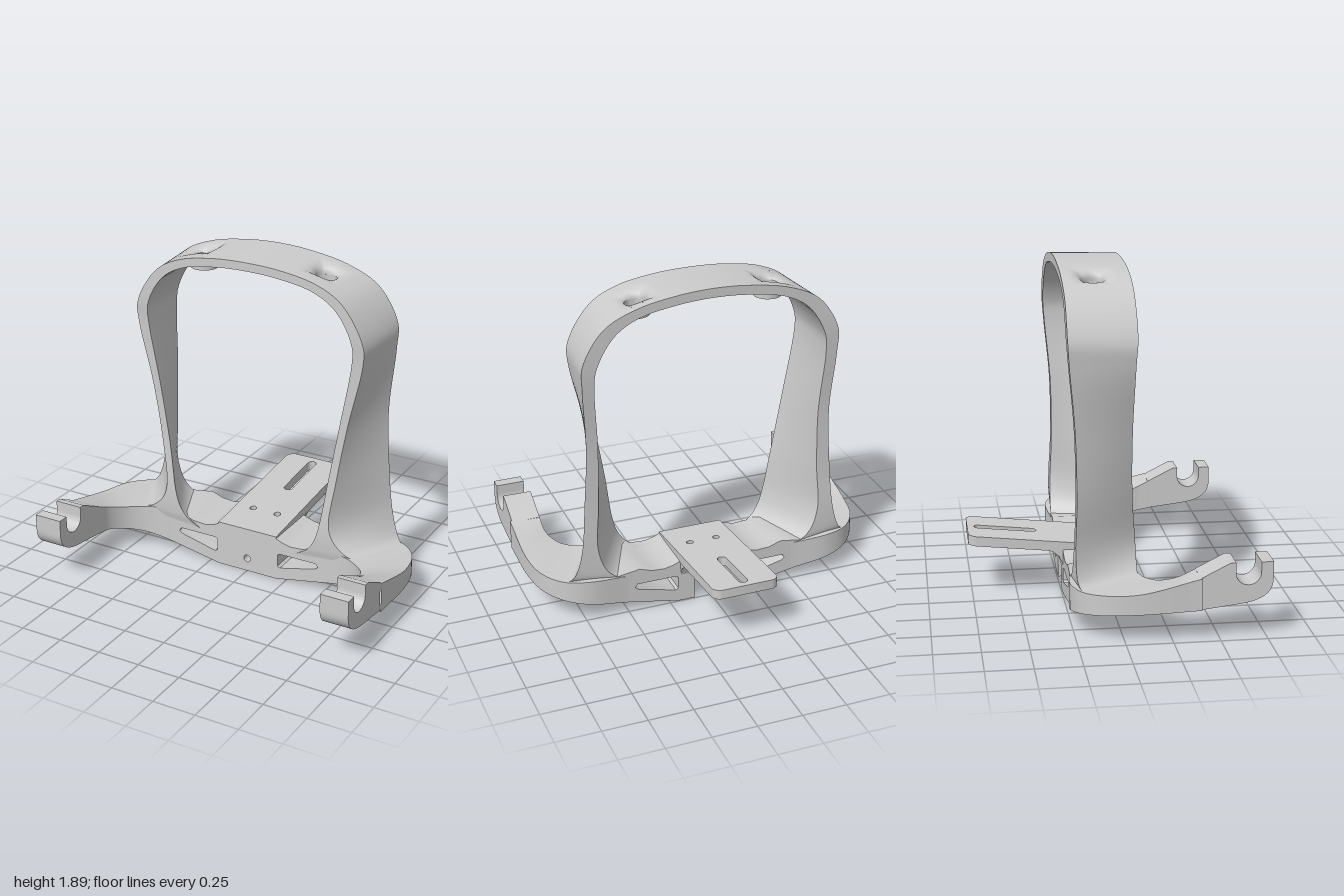
import * as THREE from 'three';
import { toCreasedNormals } from 'three/addons/utils/BufferGeometryUtils.js';

const material = new THREE.MeshStandardMaterial({ color: 0xcccccc, side: THREE.DoubleSide });
const lerp = THREE.MathUtils.lerp;
const span = (a, b, n) => Array.from({ length: n }, (_, i) => lerp(a, b, i / n));

// Triangles of a surface f(u, v) over two lists of parameters
function addPatch(out, f, us, vs, flip = false, skip = () => false) {
  for (let i = 0; i < us.length - 1; i++) {
    for (let j = 0; j < vs.length - 1; j++) {
      if (skip((us[i] + us[i + 1]) / 2, (vs[j] + vs[j + 1]) / 2)) continue;
      const a = f(us[i], vs[j]), b = f(us[i + 1], vs[j]);
      const c = f(us[i + 1], vs[j + 1]), d = f(us[i], vs[j + 1]);
      for (const p of flip ? [a, c, b, a, d, c] : [a, b, c, a, c, d]) out.push(p.x, p.y, p.z);
    }
  }
}

function surface(out, crease = 0.6) {
  const g = new THREE.BufferGeometry();
  g.setAttribute('position', new THREE.Float32BufferAttribute(out, 3));
  return toCreasedNormals(g, crease);
}

function addMesh(parent, name, geometry) {
  const mesh = new THREE.Mesh(geometry, material);
  mesh.name = name;
  parent.add(mesh);
  return mesh;
}

const polygon = (pts) => new THREE.Shape(pts.map(([x, y]) => new THREE.Vector2(x, y)));
const circleHole = (x, y, r) => new THREE.Path().absarc(x, y, r, 0, Math.PI * 2, true);
const extrude = (shape, depth) =>
  toCreasedNormals(new THREE.ExtrudeGeometry(shape, { depth, bevelEnabled: false, curveSegments: 16 }), 0.5);

// Half of the hoop: four edge curves from the foot to the crown
const frontZ = [0.1, 0.11, 0.112, 0.092, 0.085, 0.09, 0.1, 0.1, 0.1, 0.1, 0.1];
const backZ = [-0.24, -0.24, -0.235, -0.225, -0.23, -0.26, -0.27, -0.27, -0.27, -0.27, -0.27];
const footBackZ = [-0.2, -0.23];
function edgeCurve(points, zs) {
  const v = points.map(([x, y], i) => new THREE.Vector3(x, y, zs[i]));
  v.push(new THREE.Vector3(-v[9].x, v[9].y, v[9].z));
  return new THREE.CatmullRomCurve3(v, false, 'catmullrom', 0.5);
}
const frontInner = edgeCurve([[0.32, 0.2], [0.41, 0.27], [0.465, 0.4], [0.512, 0.7], [0.572, 1.05], [0.635, 1.4],
  [0.63, 1.55], [0.54, 1.7], [0.4, 1.785], [0.2, 1.822], [0, 1.832]], frontZ);
const frontOuter = edgeCurve([[0.78, 0.24], [0.62, 0.285], [0.53, 0.42], [0.56, 0.7], [0.62, 1.05], [0.7, 1.4],
  [0.695, 1.56], [0.58, 1.74], [0.42, 1.83], [0.21, 1.87], [0, 1.88]], frontZ);
const backInner = edgeCurve([[0.36, 0.2], [0.58, 0.25], [0.665, 0.42], [0.655, 0.7], [0.65, 1.05], [0.67, 1.4],
  [0.65, 1.55], [0.555, 1.7], [0.41, 1.785], [0.2, 1.825], [0, 1.837]], backZ);
const backOuter = edgeCurve([[0.86, 0.23], [0.8, 0.29], [0.757, 0.45], [0.735, 0.7], [0.717, 1.05], [0.737, 1.4],
  [0.73, 1.57], [0.615, 1.745], [0.43, 1.835], [0.21, 1.877], [0, 1.89]], [...footBackZ, ...backZ.slice(2)]);

// u runs 0..10 along the hoop, v front to back, w outside to inside
function hoopPoint(u, v, w) {
  const t = u / 11;
  const front = frontOuter.getPoint(t).lerp(frontInner.getPoint(t), w);
  const back = backOuter.getPoint(t).lerp(backInner.getPoint(t), w);
  return front.lerp(back, v);
}

const HOLE = { x: 0.38, z: -0.1, r: 0.06 };
function hoopGeometry() {
  const out = [];
  const us = [...span(0, 7.6, 70), ...span(7.6, 8.7, 8), ...span(8.7, 10, 10), 10];
  const vs = [0, 0.11, 0.22, 0.38, 0.54, 0.7, 0.86, 1];
  const inHole = (u, v) => u > 7.6 && u < 8.7 && v > 0.22 && v < 0.86;
  const angles = [...span(0, Math.PI * 2, 48), Math.PI * 2];
  for (const w of [0, 1]) {
    addPatch(out, (u, v) => hoopPoint(u, v, w), us, vs, w === 1, inHole);
    // Dimple: rings from the round hole out to the square opening
    const rimY = w === 0 ? 1.8 : 1.77;
    addPatch(out, (a, k) => {
      const c = Math.cos(a), s = Math.sin(a), m = Math.max(Math.abs(c), Math.abs(s));
      const p = hoopPoint(8.15 + 0.55 * lerp(c * 0.5, c / m, k), 0.54 + 0.32 * lerp(s * 0.5, s / m, k), w);
      const rim = new THREE.Vector3(HOLE.x - HOLE.r * c, rimY, HOLE.z - HOLE.r * s);
      return p.lerp(rim, (1 - k) ** 2);
    }, angles, [0, 0.15, 0.3, 0.45, 0.6, 0.8, 1], w === 0);
  }
  addPatch(out, (u, w) => hoopPoint(u, 0, w), us, [0, 1], true);
  addPatch(out, (u, w) => hoopPoint(u, 1, w), us, [0, 1]);
  return surface(out);
}

// Curved arm: each row is inner x, z, top, bottom, then outer x, z, top, bottom
function armGeometry() {
  const rows = [
    [0.5, 0.095, 0.24, 0.06, 0.5, -0.245, 0.23, 0.06],
    [0.62, 0.11, 0.265, 0.085, 0.73, -0.26, 0.25, 0.105],
    [0.7, 0.14, 0.262, 0.103, 0.86, -0.21, 0.25, 0.13],
    [0.77, 0.2, 0.268, 0.125, 0.95, -0.1, 0.257, 0.148],
    [0.815, 0.29, 0.295, 0.15, 0.99, 0.08, 0.27, 0.158],
    [0.82, 0.4, 0.345, 0.17, 0.995, 0.4, 0.345, 0.17],
  ];
  const corner = (o, y) => new THREE.CatmullRomCurve3(rows.map((r) => new THREE.Vector3(r[o], r[o + y], r[o + 1])));
  const corners = [corner(0, 2), corner(4, 2), corner(4, 3), corner(0, 3)];
  const out = [];
  const ts = [...span(0, 1, 32), 1];
  corners.forEach((c, i) => {
    const next = corners[(i + 1) % 4];
    addPatch(out, (t, k) => c.getPoint(t).lerp(next.getPoint(t), k), ts, [0, 0.5, 1], true);
  });
  return surface(out);
}

// Open hook at the end of each arm, drawn in z and y
function hookGeometry() {
  const s = new THREE.Shape();
  s.moveTo(0.39, 0.17);
  s.lineTo(0.6, 0.195);
  s.bezierCurveTo(0.72, 0.21, 0.775, 0.25, 0.775, 0.33);
  s.lineTo(0.775, 0.42);
  s.lineTo(0.71, 0.42);
  s.lineTo(0.71, 0.365);
  s.absarc(0.643, 0.365, 0.067, 0, Math.PI, true);
  s.lineTo(0.576, 0.42);
  s.lineTo(0.545, 0.42);
  s.lineTo(0.39, 0.342);
  const g = extrude(s, 0.165);
  return g.rotateY(-Math.PI / 2).translate(0.985, 0, 0);
}

// Cross bar layer with two tapered windows; the rear layer has an open pocket
function barGeometry(z0, z1, pocket) {
  const half = [[0.19, 0], [0.56, 0.07], [0.56, 0.24], [0.43, 0.26], [0.36, 0.235], [0.28, 0.23], [0.22, 0.245], [0.185, 0.262]];
  const right = pocket ? [[0.1, 0.14], [0.1, 0], ...half] : half;
  const s = polygon([...right, ...right.map(([x, y]) => [-x, y]).reverse()]);
  for (const m of [1, -1]) {
    const window = [[0.2, 0.085], [0.215, 0.075], [0.44, 0.13], [0.458, 0.145], [0.445, 0.165], [0.215, 0.165], [0.2, 0.155]];
    s.holes.push(new THREE.Path(window.map(([x, y]) => new THREE.Vector2(m * x, y))));
  }
  if (!pocket) s.holes.push(circleHole(0, 0.08, 0.022));
  return extrude(s, z1 - z0).translate(0, 0, z0);
}

// Sloping rear plate with a long slot and two screw holes
function plateGeometry() {
  const w = 0.19, end = 0.77, r = 0.05;
  const s = new THREE.Shape();
  s.moveTo(-w, -0.095);
  s.lineTo(w, -0.095);
  s.lineTo(w, end - r);
  s.absarc(w - r, end - r, r, 0, Math.PI / 2);
  s.absarc(-w + r, end - r, r, Math.PI / 2, Math.PI);
  const slot = new THREE.Path();
  slot.absarc(0, 0.705, 0.026, 0, Math.PI);
  slot.absarc(0, 0.405, 0.026, Math.PI, Math.PI * 2);
  s.holes.push(slot, circleHole(0.08, 0.12, 0.02), circleHole(-0.08, 0.12, 0.02));
  const g = extrude(s, 0.056).rotateX(-Math.PI / 2);
  const p = g.attributes.position;
  for (let i = 0; i < p.count; i++) p.setY(i, p.getY(i) + 0.214 + 0.105 * (0.095 - p.getZ(i)));
  return g;
}

export function createModel() {
  const model = new THREE.Group();
  model.name = 'bracket';

  addMesh(model, 'crossBarFront', barGeometry(0.03, 0.095, false));
  addMesh(model, 'crossBarRear', barGeometry(-0.245, 0.03, true));
  addMesh(model, 'rearPlate', plateGeometry());

  // Gusset under the plate, drawn in z and y
  const gusset = extrude(polygon([[-0.2, 0.14], [-0.2, 0.28], [-0.35, 0.27], [-0.3, 0.247], [-0.265, 0.22], [-0.245, 0.17]].reverse()), 0.37);
  addMesh(model, 'plateGusset', gusset.rotateY(-Math.PI / 2).translate(0.185, 0, 0));

  // Boss around each hole in the crown
  const bossProfile = [[0.06, 1.8], [0.06, 1.74], [0.078, 1.74], [0.078, 1.79]].map(([x, y]) => new THREE.Vector2(x, y));
  const boss = toCreasedNormals(new THREE.LatheGeometry(bossProfile, 40), 0.5).translate(HOLE.x, 0, HOLE.z);

  const hoop = hoopGeometry(), arm = armGeometry(), hook = hookGeometry();
  for (const [side, m] of [['left', 1], ['right', -1]]) {
    const half = new THREE.Group();
    half.name = `${side}Side`;
    half.scale.x = m;
    addMesh(half, `${side}Hoop`, hoop);
    addMesh(half, `${side}Arm`, arm);
    addMesh(half, `${side}Hook`, hook);
    addMesh(half, `${side}HoleBoss`, boss);
    model.add(half);
  }
  return model;
}
